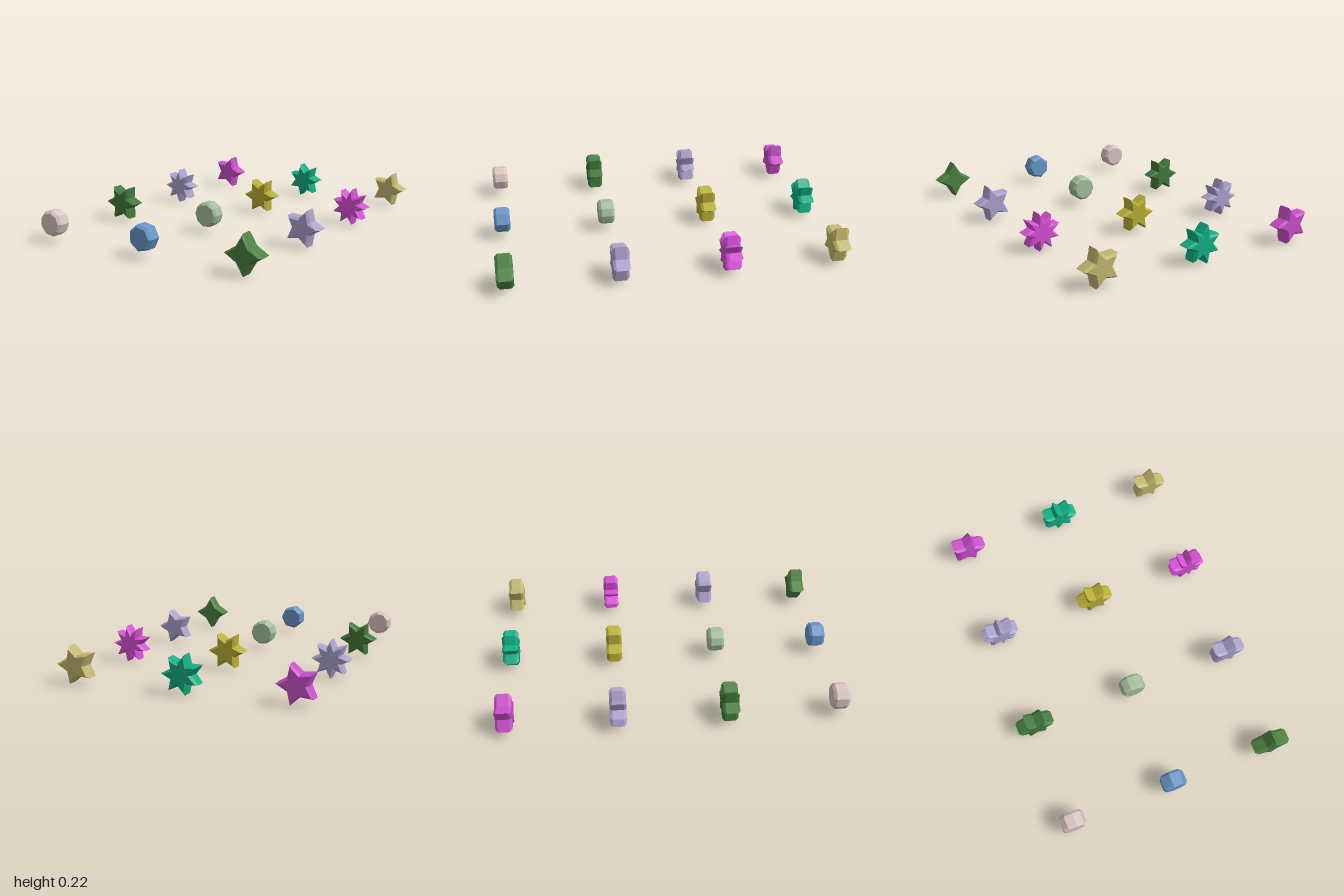
import * as THREE from 'three';

const SPACING = 0.635, BEVEL = 0.0127, BEVEL_DEPTH = 0.0155, DEPTH = 0.064;
const STAR_OUTER = 0.0945, STAR_INNER = 0.0475, POLYGON_RADIUS = 0.0625;
const CENTRE_Y = STAR_OUTER + BEVEL * Math.SQRT2;

// Closed outline with its first corner on +x; radii alternate for a star
function outline(corners, radii) {
  const points = [];
  for (let i = 0; i < corners; i++) {
    const a = (i / corners) * Math.PI * 2, r = radii[i % radii.length];
    points.push(new THREE.Vector2(Math.cos(a) * r, Math.sin(a) * r));
  }
  return new THREE.Shape(points);
}

// Bevelled slab, centred on its own middle
function slab(shape, color) {
  const geometry = new THREE.ExtrudeGeometry(shape, {
    depth: DEPTH, bevelEnabled: true, bevelSegments: 1,
    bevelSize: BEVEL, bevelThickness: BEVEL_DEPTH,
  });
  geometry.translate(0, 0, -DEPTH / 2);
  return new THREE.Mesh(geometry, new THREE.MeshStandardMaterial({ color, flatShading: true }));
}

const star = (n, color) => ({ kind: 'star', n, color });
const polygon = (n, color) => ({ kind: 'polygon', n, color });

// Rows run from front to back, columns from -x to +x
const rows = [
  [polygon(9, 0xdcc4c4), polygon(7, 0x6897c8), star(4, 0x4c8240)],
  [star(6, 0x427a3c), polygon(10, 0xa4c09c), star(5, 0xaba2cc)],
  [star(8, 0xaba2cc), star(6, 0xb8ae34), star(9, 0xd850d8)],
  [star(5, 0xcc50cc), star(7, 0x12b084), star(5, 0xc4b870)],
];

export function createModel() {
  const model = new THREE.Group();
  model.name = 'starsAndPolygons';
  rows.forEach((row, r) => row.forEach(({ kind, n, color }, c) => {
    const shape = kind === 'star'
      ? outline(n * 2, [STAR_OUTER, STAR_INNER])
      : outline(n, [POLYGON_RADIUS]);
    const mesh = slab(shape, color);
    mesh.name = `${kind}${n}Row${r + 1}Column${c + 1}`;
    mesh.position.set((c - 1) * SPACING, CENTRE_Y, (1.5 - r) * SPACING);
    model.add(mesh);
  }));
  return model;
}
